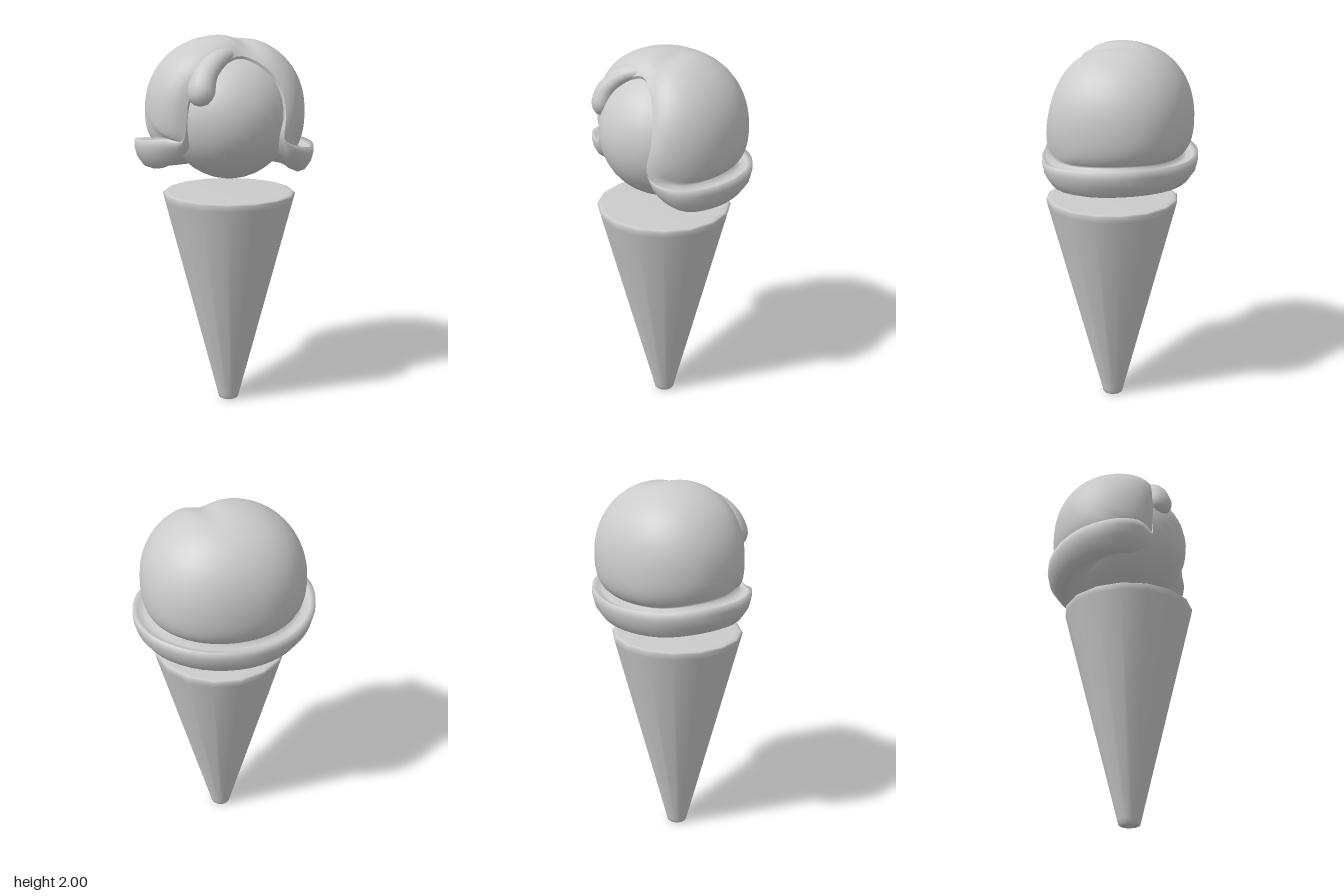
import * as THREE from 'three';

const V = (x, y, z) => new THREE.Vector3(x, y, z);
const BALL = V(0.02, 1.59, 0.05), BALL_R = 0.33;
const DOME = V(0.01, 1.6, 0.015);

// Edge of the coating: x, y, z and how far the edge flares into a rolled lip
const EDGE = [
  [0.03, 1.90, 0.20, 0], [0.13, 1.85, 0.25, 0], [0.195, 1.76, 0.295, 0], [0.215, 1.63, 0.33, 0],
  [0.20, 1.50, 0.345, 0], [0.25, 1.45, 0.31, 0.5], [0.33, 1.43, 0.22, 0.9], [0.375, 1.435, 0.05, 1],
  [0.335, 1.44, -0.13, 1], [0.19, 1.43, -0.255, 1], [-0.01, 1.425, -0.30, 1], [-0.20, 1.43, -0.25, 1],
  [-0.33, 1.455, -0.13, 1], [-0.375, 1.475, 0.02, 1], [-0.335, 1.49, 0.13, 0.9], [-0.275, 1.49, 0.20, 0.3],
  [-0.268, 1.60, 0.215, 0], [-0.258, 1.70, 0.22, 0], [-0.19, 1.80, 0.23, 0], [-0.08, 1.87, 0.225, 0],
];
// Lip cross-section: outward and vertical offsets from the edge
const LIP = [[0.035, -0.015], [0.07, -0.005], [0.095, 0.01], [0.097, -0.03], [0.085, -0.08], [0.05, -0.13], [0.01, -0.145], [-0.04, -0.125]];

// Indexed surface from a start point and closed rings of equal length
function loft(start, rings, end) {
  const n = rings[0].length, index = [];
  const points = [start, ...rings.flat()];
  if (end) points.push(end);
  const at = (i, j) => 1 + i * n + (j % n);
  for (let j = 0; j < n; j++) {
    index.push(0, at(0, j), at(0, j + 1));
    for (let i = 0; i < rings.length - 1; i++) {
      index.push(at(i, j), at(i + 1, j), at(i + 1, j + 1), at(i, j), at(i + 1, j + 1), at(i, j + 1));
    }
    if (end) index.push(at(rings.length - 1, j), points.length - 1, at(rings.length - 1, j + 1));
  }
  const geo = new THREE.BufferGeometry().setFromPoints(points);
  geo.setIndex(index);
  geo.computeVertexNormals();
  return geo;
}

// Radius of the slightly boxy dome in a given direction, with a soft fold over the top
function domeRadius(dir) {
  const p = 2.2;
  const sum = Math.abs(dir.x / 0.415) ** p + Math.abs(dir.y / 0.4) ** p + Math.abs(dir.z / 0.385) ** p;
  const front = THREE.MathUtils.smoothstep(dir.z, -0.5, 0.4) * Math.max(0, dir.y);
  const fold = 0.035 * front * Math.exp(-(((dir.x - 0.2) / 0.14) ** 2));
  return sum ** (-1 / p) - fold;
}

function coatingGeometry() {
  const edgeCurve = new THREE.CatmullRomCurve3(EDGE.map(e => V(e[0], e[1], e[2])), true, 'catmullrom');
  const flareCurve = new THREE.CatmullRomCurve3(EDGE.map(e => V(e[3], 0, 0)), true, 'catmullrom');
  const pole = V(0, 0.55, -0.83).normalize();
  const N = 80, T = 20;
  const rings = Array.from({ length: T + LIP.length + 1 }, () => []);
  for (let j = 0; j < N; j++) {
    const edge = edgeCurve.getPoint(j / N);
    const w = THREE.MathUtils.clamp(flareCurve.getPoint(j / N).x, 0, 1);
    const rel = edge.clone().sub(DOME), edgeR = rel.length(), dir = rel.normalize();
    const angle = pole.angleTo(dir), axis = pole.clone().cross(dir).normalize();
    // dome from the pole to the edge
    for (let i = 0; i < T; i++) {
      const t = (i + 1) / T;
      const d = pole.clone().applyAxisAngle(axis, angle * t);
      const r = THREE.MathUtils.lerp(domeRadius(d), edgeR, t ** 8);
      rings[i].push(d.multiplyScalar(r).add(DOME));
    }
    // rolled lip, then back in to the scoop
    const out = V(edge.x - DOME.x, 0, edge.z - DOME.z).normalize();
    let last = edge;
    LIP.forEach(([o, dy], k) => {
      last = edge.clone().addScaledVector(out, o * w);
      last.y += dy * w;
      rings[T + k].push(last);
    });
    rings[T + LIP.length].push(last.clone().sub(BALL).setLength(BALL_R - 0.015).add(BALL));
  }
  return loft(pole.clone().multiplyScalar(domeRadius(pole)).add(DOME), rings);
}

// Rounded drip swept along a path, swelling towards its tip
function dripGeometry() {
  const path = new THREE.CatmullRomCurve3([
    V(0.03, 1.91, 0.12), V(-0.08, 1.895, 0.185), V(-0.17, 1.825, 0.23), V(-0.205, 1.745, 0.25), V(-0.21, 1.665, 0.265),
  ]);
  const rings = [], S = 16, N = 14;
  for (let i = 0; i < S; i++) {
    const u = (i + 0.5) / S, p = path.getPoint(u), tan = path.getTangent(u);
    const normal = p.clone().sub(BALL);
    normal.addScaledVector(tan, -normal.dot(tan)).normalize();
    const side = tan.clone().cross(normal);
    const round = Math.sqrt(1 - Math.max(0, (u - 0.7) / 0.3) ** 2);
    const r = (0.04 + 0.045 * u) * round;
    rings.push(Array.from({ length: N }, (_, j) => {
      const a = -j / N * Math.PI * 2;
      return p.clone().addScaledVector(normal, Math.cos(a) * r * 0.8).addScaledVector(side, Math.sin(a) * r);
    }));
  }
  return loft(path.getPoint(0), rings, path.getPoint(1));
}

export function createModel() {
  const group = new THREE.Group();
  const material = new THREE.MeshStandardMaterial({ color: 0xcccccc, side: THREE.DoubleSide });
  const add = (name, geo) => {
    const mesh = new THREE.Mesh(geo, material);
    mesh.name = name;
    group.add(mesh);
    return mesh;
  };

  // Sixteen-sided tapered cone with softened rims
  const profile = [[0, 0], [0.045, 0], [0.055, 0.006], [0.061, 0.03], [0.345, 1.15], [0.352, 1.18], [0.342, 1.188], [0.32, 1.19], [0, 1.19]];
  add('cone', new THREE.LatheGeometry(profile.map(([x, y]) => new THREE.Vector2(x, y)), 16))
    .position.set(BALL.x, 0, BALL.z);

  // Scoop
  add('scoop', new THREE.SphereGeometry(BALL_R, 32, 20)).position.copy(BALL);

  // Coating with its lip, and the drip hanging over the opening
  add('coating', coatingGeometry());
  add('drip', dripGeometry());
  return group;
}
